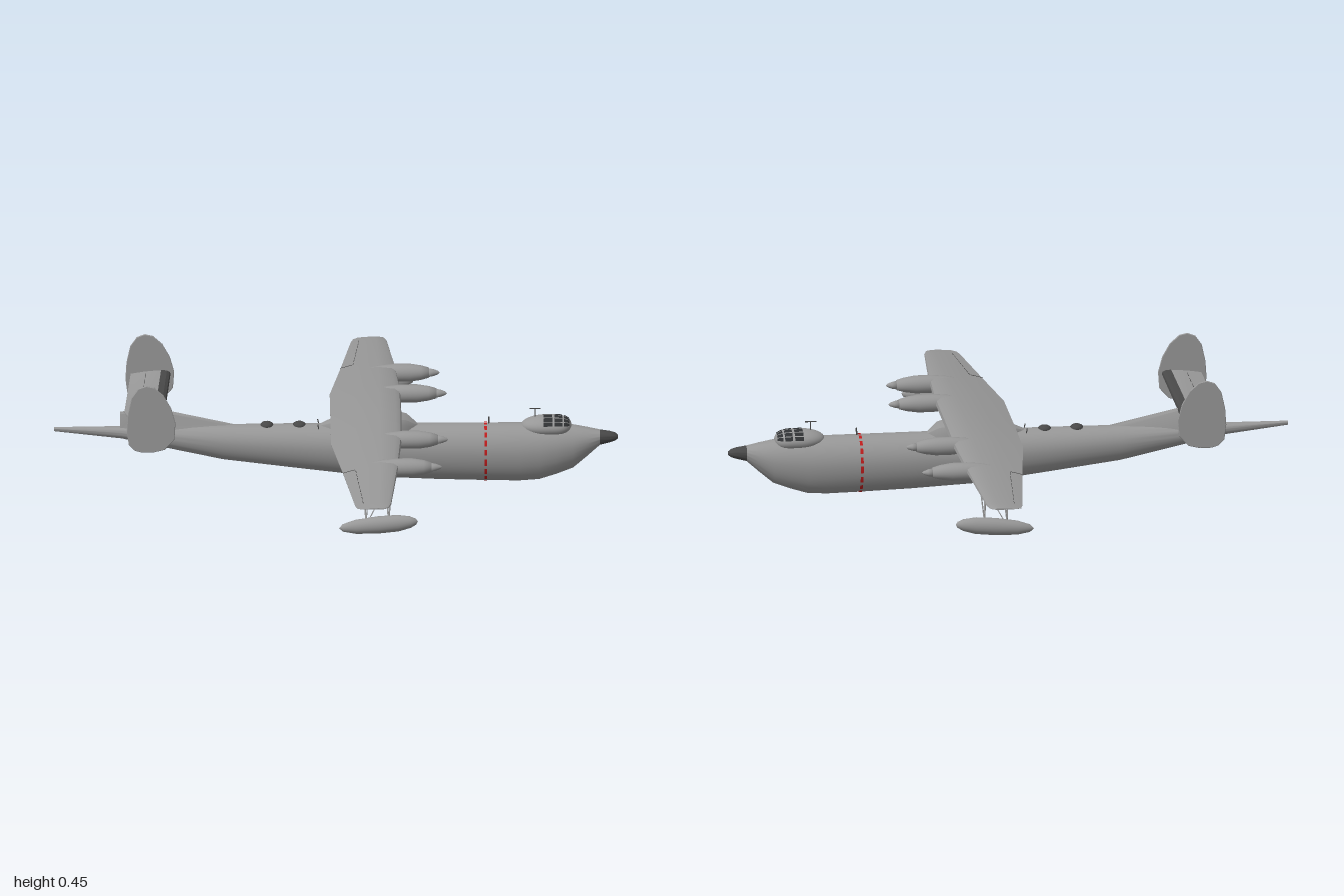
import * as THREE from 'three';
import { toCreasedNormals } from 'three/addons/utils/BufferGeometryUtils.js';

const material = (name, color, side = THREE.FrontSide) => {
  const m = new THREE.MeshStandardMaterial({ color, side });
  m.name = name;
  return m;
};

// Skin over a row of closed rings, with flat end caps and outward faces.
function loft(rings, crease = 0.6) {
  const n = rings[0].length, pos = rings.flat(2), index = [];
  for (let i = 0; i < rings.length - 1; i++) {
    for (let j = 0; j < n; j++) {
      const a = i * n + j, b = i * n + (j + 1) % n;
      index.push(a, b, a + n, b, b + n, a + n);
    }
  }
  const last = (rings.length - 1) * n;
  for (let j = 1; j < n - 1; j++) index.push(0, j + 1, j, last, last + j, last + j + 1);
  const at = (i) => new THREE.Vector3().fromArray(pos, i * 3);
  let volume = 0;
  for (let i = 0; i < index.length; i += 3) {
    volume += at(index[i]).dot(at(index[i + 1]).cross(at(index[i + 2])));
  }
  if (volume < 0) index.reverse();
  const g = new THREE.BufferGeometry();
  g.setAttribute('position', new THREE.Float32BufferAttribute(pos, 3));
  g.setIndex(index);
  return toCreasedNormals(g, crease);
}

// Hull stations: x, bottom, top, half width
const HULL = [
  [-1, 0.19, 0.205, 0.005], [-0.76, 0.163, 0.207, 0.022], [-0.6, 0.128, 0.209, 0.036],
  [-0.4, 0.085, 0.212, 0.052], [-0.15, 0.054, 0.214, 0.066], [0.13, 0.02, 0.215, 0.075],
  [0.35, 0.01, 0.215, 0.077], [0.53, 0.005, 0.215, 0.077], [0.65, 0.003, 0.215, 0.076],
  [0.72, 0.008, 0.214, 0.073], [0.78, 0.027, 0.212, 0.067], [0.84, 0.05, 0.208, 0.057],
  [0.89, 0.093, 0.199, 0.043], [0.935, 0.134, 0.189, 0.028], [0.97, 0.143, 0.184, 0.022],
  [0.99, 0.15, 0.178, 0.016], [1, 0.158, 0.17, 0.007],
];

function hullPoint([x, bottom, top, half], a, grow = 0) {
  const mid = bottom + (top - bottom) * 0.55, s = Math.sin(a);
  const h = s > 0 ? top - mid : mid - bottom;
  return [x, mid + (h + grow) * s, (half + grow) * Math.cos(a)];
}
const hullRing = (s) => Array.from({ length: 32 }, (_, i) => hullPoint(s, (i / 32) * Math.PI * 2));

// Aerofoil outlines as fraction of chord from the leading edge, and of thickness
const FOIL = [[0, 0], [0.015, 0.35], [0.08, 0.62], [0.3, 0.75], [0.65, 0.5], [1, 0.06],
  [1, -0.06], [0.65, -0.2], [0.35, -0.3], [0.1, -0.28]];
const BOOT = [[-0.01, 0], [0.01, 0.42], [0.08, 0.72], [0.23, 0.82], [0.23, -0.34], [0.08, -0.34]];
const foilRing = (outline, [z, trail, lead, y, thick, drop], side) =>
  outline.map(([u, v]) => [lead + (trail - lead) * u, y + v * thick - u * drop, z * side]);

// Half-span stations: z, trailing x, leading x, y, thickness, drop
const WING = [
  [0, -0.02, 0.232, 0.248, 0.037, 0.016], [0.27, -0.02, 0.23, 0.243, 0.035, 0.014],
  [0.56, 0.02, 0.214, 0.233, 0.026, 0.01], [0.88, 0.06, 0.188, 0.217, 0.013, 0.004],
  [0.912, 0.068, 0.18, 0.216, 0.01, 0.003], [0.926, 0.085, 0.165, 0.216, 0.005, 0.001],
];
const TAIL = [[0, -0.75, -0.607, 0.262, 0.022, 0], [0.278, -0.725, -0.585, 0.308, 0.018, 0]];
const fullSpan = (half, outline = FOIL) => [
  ...half.slice(1).reverse().map((s) => foilRing(outline, s, -1)),
  ...half.map((s) => foilRing(outline, s, 1)),
];

// Body of revolution along x from [x, radius] points
const spindle = (points) =>
  new THREE.LatheGeometry(points.map(([x, r]) => new THREE.Vector2(r, x)), 20).rotateZ(-Math.PI / 2);

// Sphere patch shaped to the canopy: pole forward, with a blunt front
function canopyPatch(size, segments, ...angles) {
  const g = new THREE.SphereGeometry(size, ...segments, ...angles).rotateZ(-Math.PI / 2);
  const p = g.attributes.position;
  for (let i = 0; i < p.count; i++) {
    const u = Math.max(0, p.getX(i) / size), k = Math.sqrt(1 + u * u);
    p.setXYZ(i, p.getX(i) * 0.09, p.getY(i) * k * 0.037, p.getZ(i) * k * 0.055);
  }
  g.computeVertexNormals();
  return g;
}

export function createModel() {
  const model = new THREE.Group();
  const grey = material('airframe grey', 0x979797);
  const dark = material('dark grey', 0x484848);
  const glass = material('window glass', 0x303234);
  const red = material('warning red', 0xc01c1c, THREE.DoubleSide);

  const add = (name, geometry, mat, x = 0, y = 0, z = 0) => {
    const mesh = new THREE.Mesh(geometry, mat);
    mesh.name = name;
    mesh.position.set(x, y, z);
    model.add(mesh);
    return mesh;
  };
  const rod = (name, from, to, radius, mat) => {
    const a = new THREE.Vector3(...from), b = new THREE.Vector3(...to);
    const mesh = add(name, new THREE.CylinderGeometry(radius, radius, a.distanceTo(b), 6), mat);
    mesh.position.copy(a).add(b).multiplyScalar(0.5);
    mesh.quaternion.setFromUnitVectors(new THREE.Vector3(0, 1, 0), b.sub(a).normalize());
  };

  // Hull and nose cap
  add('hull', loft(HULL.slice(0, 14).map(hullRing)), grey);
  add('noseCap', loft(HULL.slice(13).map(hullRing)), dark);

  // Dashed propeller warning band
  const station = HULL[7], dashes = [], idx = [];
  for (let i = 0; i < 18; i++) {
    const k = dashes.length / 3;
    for (let j = 0; j <= 4; j++) {
      const [x, y, z] = hullPoint(station, ((i + j * 0.16) / 18) * Math.PI * 2, 0.0016);
      dashes.push(x - 0.005, y, z, x + 0.005, y, z);
      if (j) idx.push(k + 2 * j - 2, k + 2 * j, k + 2 * j - 1, k + 2 * j - 1, k + 2 * j, k + 2 * j + 1);
    }
  }
  const band = new THREE.BufferGeometry();
  band.setAttribute('position', new THREE.Float32BufferAttribute(dashes, 3));
  band.setIndex(idx);
  band.computeVertexNormals();
  add('warningBand', band, red);

  // Canopy with a grid of window panes
  add('canopy', canopyPatch(1, [32, 24]), grey, 0.745, 0.207);
  for (let row = 0; row < 3; row++) {
    for (let col = 0; col < 6; col++) {
      const pane = canopyPatch(1.025, [5, 5], -1.3 + col * 0.435, 0.36, 0.48 + row * 0.43, 0.34);
      add('windowPane', pane, glass, 0.745, 0.207);
    }
  }

  // Wing and its raised centre fairing
  add('wing', loft(fullSpan(WING)), grey);
  const fairing = [[-0.06, 0.012, 0.214], [0, 0.04, 0.235], [0.1, 0.058, 0.25], [0.2, 0.06, 0.252],
    [0.25, 0.045, 0.243], [0.29, 0.012, 0.215]];
  add('wingFairing', loft(fairing.map(([x, w, y]) =>
    [[x, 0.18, -w], [x, (y + 0.2) / 2, -w], [x, y - 0.003, -w * 0.85], [x, y, 0],
      [x, y - 0.003, w * 0.85], [x, (y + 0.2) / 2, w], [x, 0.18, w]])), grey);

  // Tailplane with dark leading edge, on its tapering dorsal fairing
  add('tailplane', loft(fullSpan(TAIL), 0.4), grey);
  add('tailLeadingEdge', loft(fullSpan(TAIL, BOOT), 0.4), dark);
  const dorsal = [[-0.765, 0.008, 0.262], [-0.7, 0.016, 0.273], [-0.605, 0.02, 0.268], [-0.35, 0.006, 0.212]];
  add('dorsalFairing', loft(dorsal.map(([x, w, y]) =>
    [[x, 0.195, -w * 1.4], [x, y - 0.008, -w * 0.5], [x, y, 0], [x, y - 0.008, w * 0.5], [x, 0.195, w * 1.4]])), grey);

  // End-plate fins
  const finShape = new THREE.Shape([[-0.735, 0.235], [-0.742, 0.29], [-0.738, 0.35], [-0.725, 0.41],
    [-0.702, 0.443], [-0.675, 0.453], [-0.648, 0.447], [-0.615, 0.418], [-0.588, 0.37], [-0.573, 0.315],
    [-0.577, 0.255], [-0.61, 0.218], [-0.65, 0.208], [-0.69, 0.208], [-0.715, 0.215]].map((p) => new THREE.Vector2(...p)));
  const fin = new THREE.ExtrudeGeometry(finShape, { depth: 0.003, bevelThickness: 0.002, bevelSize: 0.002, bevelSegments: 1 });

  for (const s of [1, -1]) {
    add('fin', fin, grey, 0, 0, s * 0.279 - 0.0015);

    // Engine nacelles and spinners
    for (const [z, y, shift] of [[0.25, 0.241, 0.005], [0.51, 0.228, -0.019]]) {
      add('nacelle', spindle([[0.08, 0], [0.13, 0.017], [0.18, 0.027], [0.23, 0.032], [0.285, 0.032],
        [0.325, 0.026], [0.353, 0.018], [0.356, 0]]), grey, shift, y, s * z);
      add('spinner', spindle([[0.35, 0], [0.35, 0.016], [0.37, 0.012], [0.385, 0.006], [0.391, 0]]), grey, shift, y, s * z);
    }

    // Wing-tip floats on braced struts
    const float = spindle([[-0.14, 0], [-0.125, 0.012], [-0.08, 0.022], [0, 0.027], [0.07, 0.026],
      [0.115, 0.018], [0.135, 0.009], [0.141, 0]]).scale(1, 1.15, 1);
    add('float', float, grey, 0.143, 0.101, s * 0.765).rotation.z = 0.09;
    for (const x of [0.1, 0.18]) {
      rod('floatStrut', [x, 0.115, s * 0.76], [x - 0.01, 0.226, s * 0.705], 0.0035, grey);
      rod('floatBrace', [x, 0.115, s * 0.765], [x + 0.01, 0.222, s * 0.735], 0.0025, grey);
    }
    rod('diagonalBrace', [0.11, 0.12, s * 0.762], [0.17, 0.224, s * 0.72], 0.002, grey);

    // Aileron and elevator hinge lines
    rod('aileronEnd', [0.02, 0.226, s * 0.565], [0.062, 0.238, s * 0.565], 0.0009, dark);
    for (let i = 0; i < 9; i++) {
      const hinge = (t) => [0.065 + 0.025 * t, 0.237 - 0.017 * t, s * (0.57 + 0.32 * t)];
      rod('aileronHinge', hinge(i / 9), hinge((i + 0.6) / 9), 0.001, dark);
    }
    for (let i = 0; i < 6; i++) {
      const hinge = (t) => [-0.692 + 0.022 * t, 0.274 + 0.045 * t, s * (0.02 + 0.25 * t)];
      rod('elevatorHinge', hinge(i / 6), hinge((i + 0.6) / 6), 0.001, dark);
    }
  }

  // Dorsal domes and aerials
  for (const x of [-0.245, -0.13]) {
    add('dorsalDome', new THREE.SphereGeometry(0.024, 18, 10).scale(1, 0.6, 1), dark, x, 0.21);
  }
  for (const z of [-0.03, 0.03]) rod('aftAerial', [-0.06, 0.2, z], [-0.065, 0.222, z], 0.002, dark);
  rod('mast', [0.54, 0.21, 0], [0.542, 0.24, 0], 0.003, dark);
  rod('aerialMast', [0.705, 0.235, 0], [0.705, 0.27, 0], 0.002, dark);
  rod('aerialBar', [0.685, 0.27, 0], [0.725, 0.27, 0], 0.002, dark);
  return model;
}
